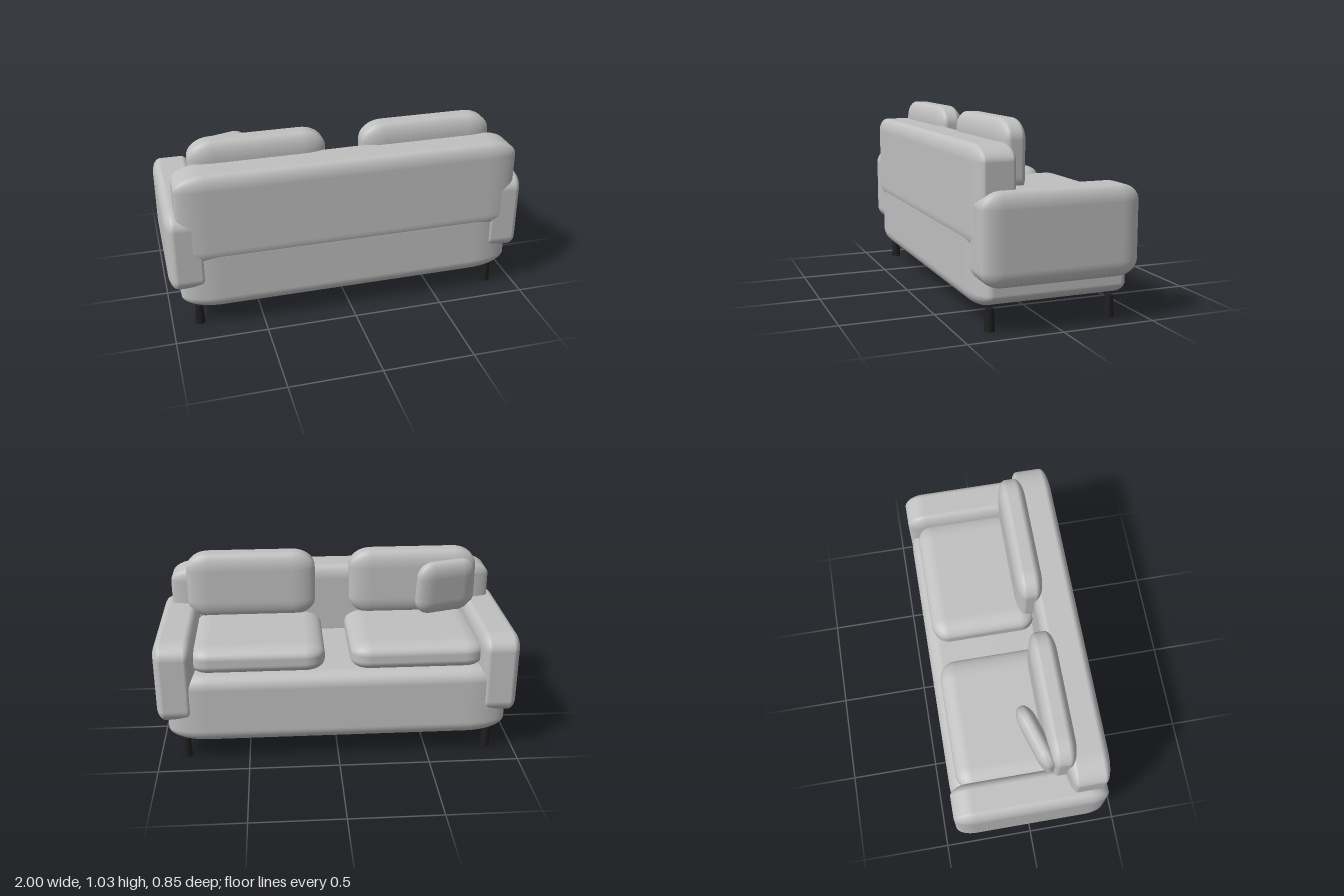
import * as THREE from 'three';
import { RoundedBoxGeometry } from 'three/addons/geometries/RoundedBoxGeometry.js';

const fabric = new THREE.MeshStandardMaterial({ color: 0xc0c0c0 });
fabric.name = 'grey fabric';
const black = new THREE.MeshStandardMaterial({ color: 0x1e1e1e });
black.name = 'black leg';

// Upholstered block filling min..max, with its own corner radius along x, y and z (elliptical corners).
function pad(name, min, max, radii) {
  const lo = new THREE.Vector3(...min), hi = new THREE.Vector3(...max), r = new THREE.Vector3(...radii);
  const core = hi.clone().sub(lo).multiplyScalar(0.5).sub(r);
  const g = new RoundedBoxGeometry(4, 4, 4, 7, 1);
  const pos = g.attributes.position, nor = g.attributes.normal;
  const p = new THREE.Vector3(), n = new THREE.Vector3();
  for (let i = 0; i < pos.count; i++) {
    p.fromBufferAttribute(pos, i);
    n.fromBufferAttribute(nor, i);
    pos.setXYZ(i,
      Math.sign(p.x) * core.x + n.x * r.x,
      Math.sign(p.y) * core.y + n.y * r.y,
      Math.sign(p.z) * core.z + n.z * r.z);
    n.divide(r).normalize();
    nor.setXYZ(i, n.x, n.y, n.z);
  }
  const m = new THREE.Mesh(g, fabric);
  m.name = name;
  m.position.copy(lo).add(hi).multiplyScalar(0.5);
  return m;
}

export function createModel() {
  const sofa = new THREE.Group();
  sofa.name = 'sofa';

  // Body and backrest; the seat opens towards -z
  sofa.add(pad('base', [-0.94, 0.117, -0.425], [0.94, 0.525, 0.421], [0.22, 0.08, 0.08]));
  sofa.add(pad('backrest', [-0.94, 0.41, 0.2], [0.94, 0.92, 0.426], [0.16, 0.08, 0.045]));

  for (const s of [1, -1]) {
    const side = s > 0 ? 'left' : 'right';
    // Block spanning x from a to b on this side
    const sidePad = (name, a, b, y0, y1, z0, z1, radii) => sofa.add(pad(side + name,
      [Math.min(s * a, s * b), y0, z0], [Math.max(s * a, s * b), y1, z1], radii));

    sidePad('Armrest', 0.78, 1.0, 0.24, 0.708, -0.425, 0.419, [0.05, 0.085, 0.11]);
    sidePad('SeatCushion', 0.07, 0.81, 0.505, 0.66, -0.38, 0.22, [0.11, 0.06, 0.09]);
    sidePad('BackCushion', 0.1, 0.84, 0.645, 1.03, 0.11, 0.26, [0.13, 0.1, 0.05]);

    // Tapered legs, wider at the floor
    for (const z of [0.33, -0.33]) {
      const leg = new THREE.Mesh(new THREE.CylinderGeometry(0.021, 0.027, 0.115, 20), black);
      leg.name = side + (z > 0 ? 'BackLeg' : 'FrontLeg');
      leg.position.set(s * 0.85, 0.0575, z);
      sofa.add(leg);
    }
  }

  // Small loose pillow leaning in the corner
  const pillow = pad('throwPillow', [-0.18, -0.16, -0.05], [0.18, 0.16, 0.05], [0.09, 0.09, 0.045]);
  pillow.rotation.set(-0.12, 0.3, 0, 'YXZ');
  pillow.position.set(-0.65, 0.83, 0.075);
  sofa.add(pillow);

  return sofa;
}
